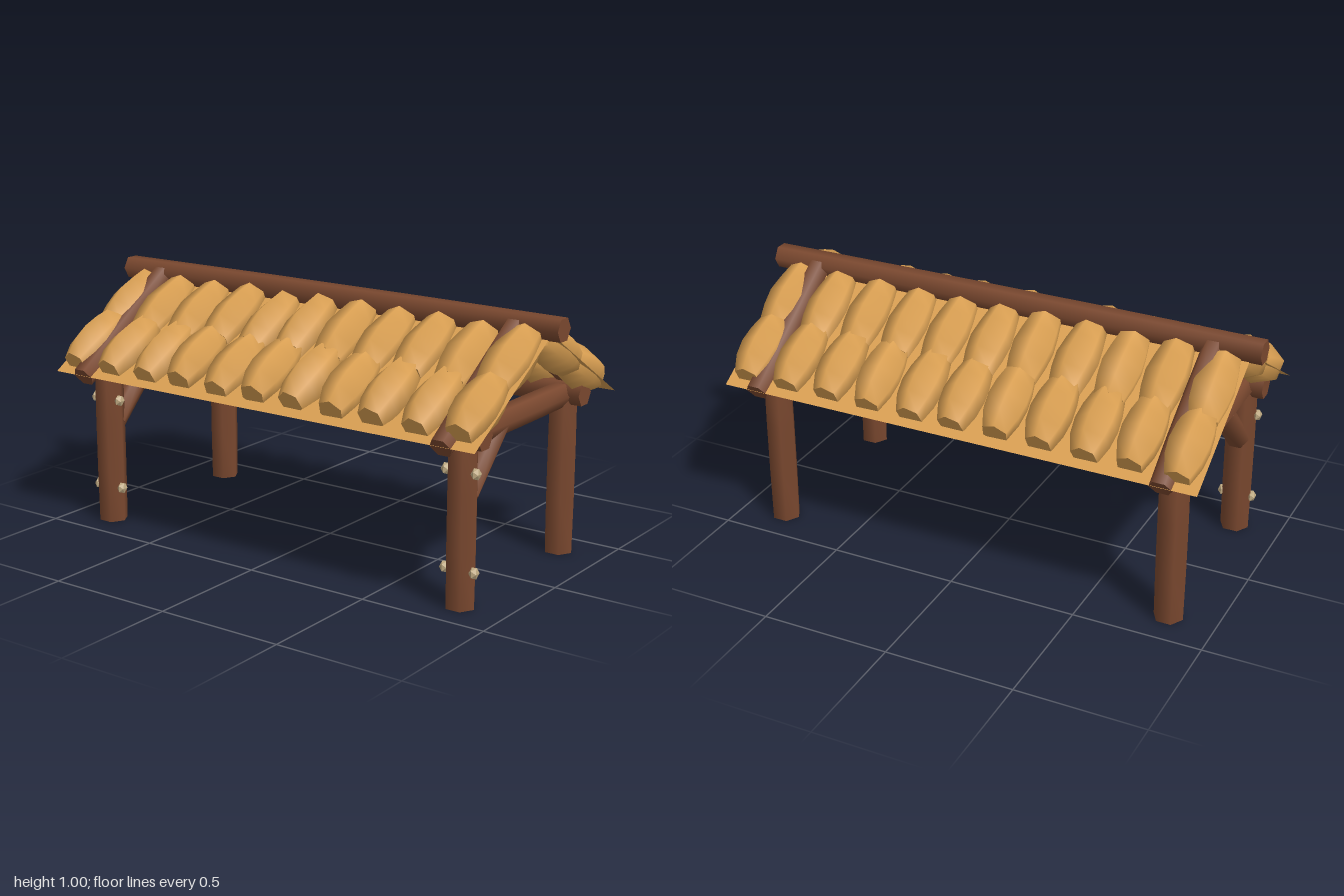
import * as THREE from 'three';
import { toCreasedNormals } from 'three/addons/utils/BufferGeometryUtils.js';

const wood = new THREE.MeshStandardMaterial({ color: 0x7a482f });
wood.name = 'brown wood';
const straw = new THREE.MeshStandardMaterial({ color: 0xd99f52, side: THREE.DoubleSide });
straw.name = 'golden straw';
const bone = new THREE.MeshStandardMaterial({ color: 0xbfaa82 });
bone.name = 'pale peg';

const UP = new THREE.Vector3(0, 1, 0);

// six-sided log from a to b; radii are spread evenly along its length
function log(name, a, b, radii, material = wood, roll = 0) {
  const from = new THREE.Vector3(...a), to = new THREE.Vector3(...b);
  const dir = to.clone().sub(from), length = dir.length();
  const profile = radii.map((r, i) => new THREE.Vector2(r, length * i / (radii.length - 1)));
  const points = [new THREE.Vector2(0, 0), ...profile, new THREE.Vector2(0, length)];
  const geometry = toCreasedNormals(new THREE.LatheGeometry(points, 6, roll), 1.15);
  const mesh = new THREE.Mesh(geometry, material);
  mesh.name = name;
  mesh.position.copy(from);
  mesh.quaternion.setFromUnitVectors(UP, dir.normalize());
  return mesh;
}

// small seeded generator, -0.5 to 0.5
let seed = 7;
function jitter(amount) {
  seed = (seed * 16807) % 2147483647;
  return (seed / 2147483647 - 0.5) * amount;
}

export function createModel() {
  const model = new THREE.Group();
  model.name = 'shelter';
  const frame = new THREE.Group();
  frame.name = 'frame';
  const roof = new THREE.Group();
  roof.name = 'roof';
  model.add(frame, roof);
  const turn = Math.PI / 6;

  // ridge pole
  frame.add(log('ridgePole', [-1, 0.952, 0], [1, 0.952, 0], [0.047, 0.05, 0.05, 0.047]));

  for (const sx of [-1, 1]) {
    const x = sx * 0.817;
    // cross beam and front brace at each end
    frame.add(log('crossBeam', [x, 0.622, 0.37], [x, 0.622, -0.37], [0.048, 0.05, 0.05, 0.048], wood, turn));
    frame.add(log('brace', [x, 0.405, 0.325], [x, 0.61, 0.125], [0.045, 0.045], wood, turn));

    for (const sz of [-1, 1]) {
      frame.add(log('post', [x, 0, sz * 0.355], [x, 0.63, sz * 0.355], [0.057, 0.059, 0.059, 0.057], wood, turn));
      frame.add(log('rafter', [x, 0.615, sz * 0.5], [x, 0.95, 0], [0.045, 0.047, 0.047, 0.045], wood, turn));
    }

    // pegs on both faces of the front posts
    for (const side of [-1, 1]) {
      for (const y of [0.14, 0.5]) {
        const peg = new THREE.Mesh(new THREE.IcosahedronGeometry(0.024, 0), bone);
        peg.name = 'peg';
        peg.scale.x = 0.75;
        peg.position.set(x + side * 0.06, y, 0.365);
        frame.add(peg);
      }
    }
  }

  for (const sz of [-1, 1]) {
    // long side beam
    frame.add(log('sideBeam', [-0.905, 0.63, sz * 0.355], [0.905, 0.63, sz * 0.355], [0.048, 0.05, 0.05, 0.048]));

    // thin sheet under the bundles
    const slope = Math.atan2(0.31, 0.505);
    const sheet = new THREE.Mesh(new THREE.PlaneGeometry(1.905, Math.hypot(0.31, 0.505)), straw);
    sheet.name = 'roofSheet';
    sheet.position.set(0, 0.775, sz * 0.2525);
    sheet.rotation.x = -sz * (Math.PI / 2 - slope);
    roof.add(sheet);

    // two rows of barrel-shaped bundles
    for (let i = -5; i <= 5; i++) {
      const x = i * 0.174;
      const drop = jitter(0.012);
      roof.add(log('upperBundle',
        [x + jitter(0.01), 0.912 + drop, sz * 0.03], [x + jitter(0.01), 0.775 + drop, sz * 0.265],
        [0.064, 0.077, 0.086, 0.079, 0.064], straw, jitter(0.4)));
      roof.add(log('lowerBundle',
        [x + jitter(0.01), 0.785 + drop, sz * 0.25], [x + jitter(0.01), 0.66 + drop, sz * 0.482],
        [0.064, 0.079, 0.085, 0.077, 0.052], straw, jitter(0.4)));
    }
  }
  return model;
}
